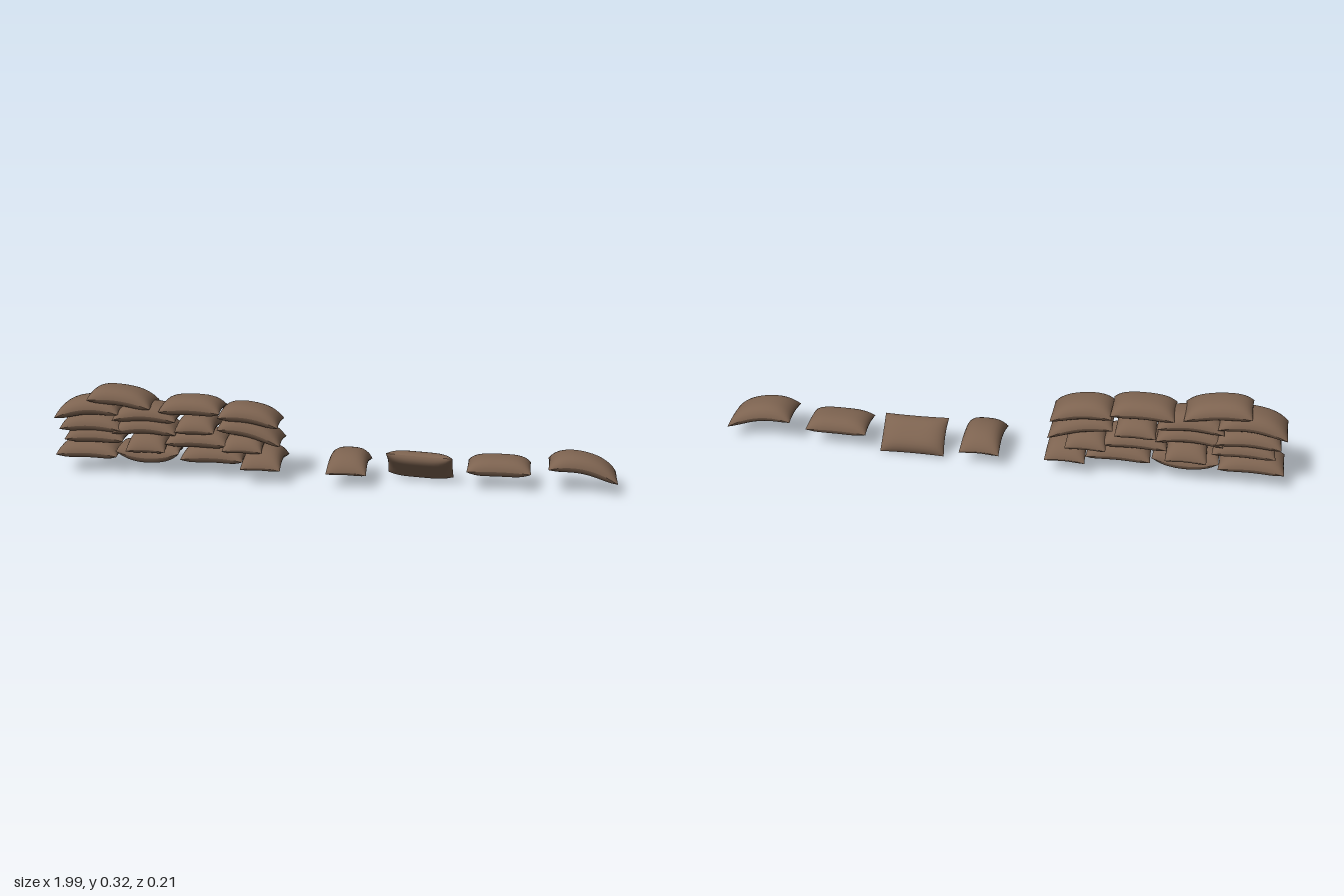
import * as THREE from 'three';
import { mergeGeometries } from 'three/addons/utils/BufferGeometryUtils.js';

// Stuffed bag: two puffed sheets meeting at a thin seam, with a tilted and bent spine
function bagGeometry(length, width, thick, tilt, bend) {
  const halves = [1, -1].map((side) => {
    const g = new THREE.PlaneGeometry(2, 2, 20, 14);
    g.rotateX(-side * Math.PI / 2);
    const p = g.attributes.position;
    for (let i = 0; i < p.count; i++) {
      const u = p.getX(i), v = p.getZ(i);
      const su = Math.sin(u * Math.PI / 2), sv = Math.sin(v * Math.PI / 2); // denser near the seams
      const puff = Math.pow(Math.max(0, (1 - su ** 4) * (1 - sv ** 4)), 0.6);
      const pinchU = 1 - 0.025 * (1 - sv * sv);
      const pinchV = 1 - 0.035 * (1 - su * su);
      const spine = tilt * su + bend * su * su;
      p.setXYZ(i,
        su * pinchU * length / 2,
        side * thick * puff + spine - 0.008 * sv * sv,
        sv * pinchV * width / 2);
    }
    g.computeVertexNormals();
    return g;
  });
  return mergeGeometries(halves);
}

export function createModel() {
  const model = new THREE.Group();
  const burlap = new THREE.MeshStandardMaterial({ color: 0x7d6350 });
  burlap.name = 'burlap brown';

  function addBag(parent, name, x, y, { length = 0.225, width = 0.142, thick = 0.031, tilt = 0, bend = -0.01, cross = false, z = -0.008 } = {}) {
    const mesh = new THREE.Mesh(bagGeometry(length, width, thick, tilt, bend), burlap);
    mesh.name = name;
    mesh.position.set(x, y, z);
    if (cross) mesh.rotation.y = Math.PI / 2;
    parent.add(mesh);
    return mesh;
  }

  // Stacked wall, from the ground up
  const wall = new THREE.Group();
  wall.name = 'sandbagWall';
  model.add(wall);
  const rows = [
    [
      [-0.88, 0.084],
      [-0.655, 0.073, { bend: 0.022, length: 0.23 }],
      [-0.423, 0.084],
      [-0.24, 0.085, { cross: true, length: 0.208, bend: -0.025, z: 0 }],
    ],
    [
      [-0.85, 0.143, { length: 0.215 }],
      [-0.657, 0.128, { cross: true, length: 0.185, bend: -0.025, z: -0.01 }],
      [-0.478, 0.139, { length: 0.222 }],
      [-0.31, 0.134, { cross: true, length: 0.175, bend: -0.02, z: -0.012 }],
    ],
    [
      [-0.862, 0.186, { bend: -0.015 }],
      [-0.665, 0.182, { bend: -0.02, length: 0.23 }],
      [-0.48, 0.193, { cross: true, length: 0.168, bend: -0.015, z: -0.01 }],
      [-0.288, 0.182, { tilt: -0.026, bend: -0.02 }],
    ],
    [
      [-0.875, 0.244, { tilt: 0.01, bend: -0.024, length: 0.235 }],
      [-0.665, 0.228, { bend: -0.018, length: 0.23 }],
      [-0.5, 0.256, { bend: -0.01, length: 0.22 }],
      [-0.29, 0.235, { tilt: -0.014, bend: -0.018, length: 0.215 }],
    ],
    [[-0.755, 0.281, { tilt: -0.013, bend: -0.014, length: 0.23 }]],
  ];
  rows.forEach((row, r) => row.forEach(([x, y, options], i) =>
    addBag(wall, `wallBagRow${r + 1}No${i + 1}`, x, y, options)));

  // Loose bags lying beside the wall
  addBag(model, 'looseBagCrosswise', 0.063, 0.083, { cross: true, length: 0.208, bend: -0.026, z: 0 });
  const tilted = addBag(model, 'looseBagTilted', 0.312, 0.061, { length: 0.235, bend: 0, z: -0.03 });
  tilted.rotation.set(-0.78, 0, -0.05);
  addBag(model, 'looseBagFlat', 0.59, 0.078, { length: 0.222, bend: -0.004 });
  addBag(model, 'looseBagBent', 0.878, 0.1, { length: 0.238, tilt: -0.021, bend: -0.027 });

  return model;
}
